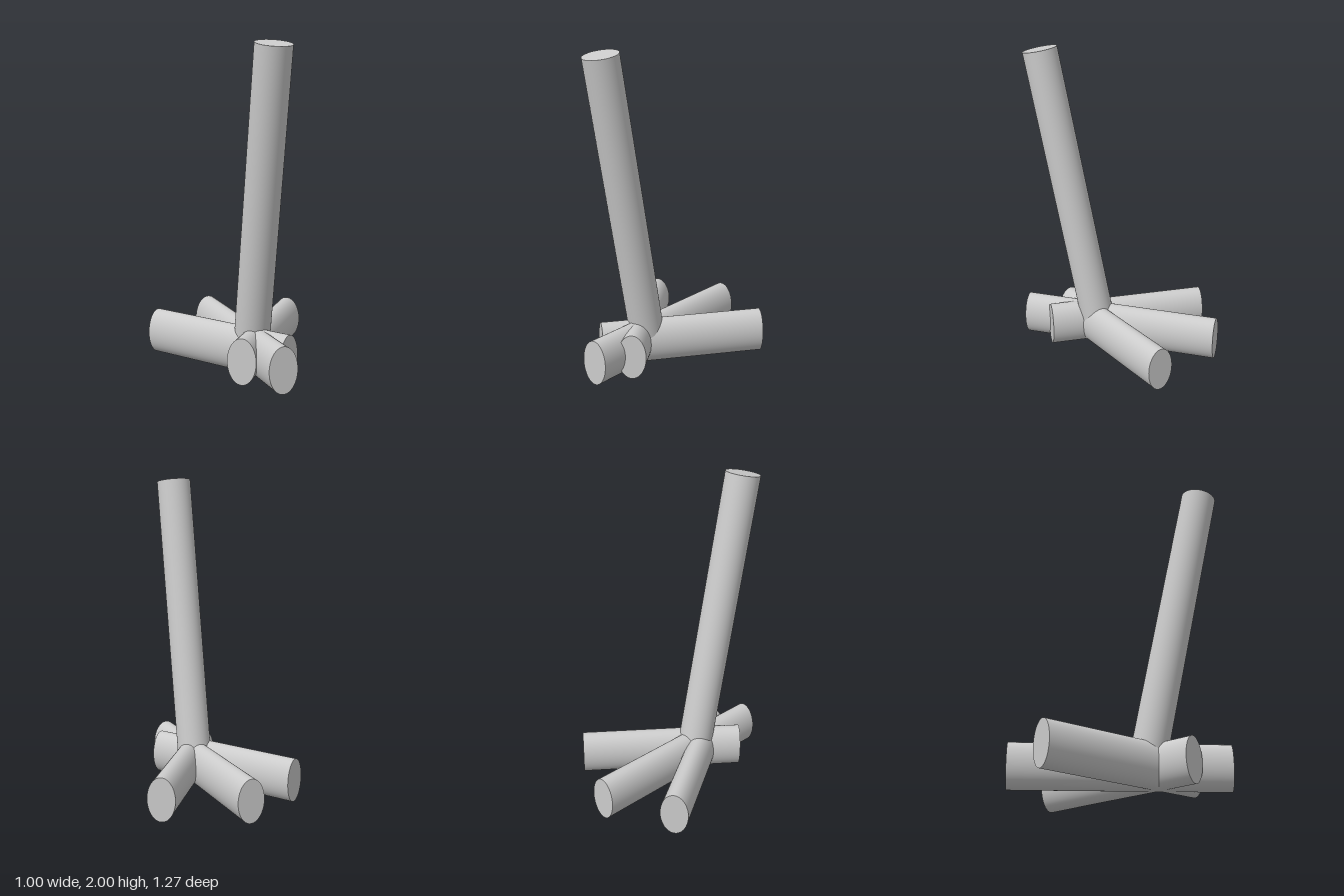
import * as THREE from 'three';

const material = new THREE.MeshStandardMaterial({ color: 0xcccccc });

// Straight pole between two centres; rx is its sideways radius, ry its radius in the upright direction
function pole(name, from, to, rx, ry) {
  const a = new THREE.Vector3(...from);
  const b = new THREE.Vector3(...to);
  const geometry = new THREE.CylinderGeometry(1, 1, a.distanceTo(b), 64);
  geometry.rotateX(Math.PI / 2); // lay the axis along z
  geometry.scale(rx, ry, 1);
  const mesh = new THREE.Mesh(geometry, material);
  mesh.name = name;
  mesh.position.copy(a).add(b).multiplyScalar(0.5);
  mesh.lookAt(b);
  return mesh;
}

export function createModel() {
  const group = new THREE.Group();
  group.name = 'crossedPoles';

  // Three flattened logs crossing at one point on the ground: [x, z] of each end
  const logY = 0.142;
  const logs = [
    ['steepLog', [-0.363, -0.573], [-0.207, 0.457]],
    ['diagonalLog', [0.103, -0.603], [-0.398, 0.595]],
    ['shallowLog', [0.453, -0.193], [-0.458, 0.313]],
  ];
  for (const [name, [x0, z0], [x1, z1]] of logs) {
    group.add(pole(name, [x0, logY, z0], [x1, logY, z1], 0.089, 0.141));
  }

  // Tall leaning post rising from the crossing
  group.add(pole('leaningPost', [-0.206, 0.142, 0.137], [-0.36, 1.978, 0.475], 0.11, 0.11));

  return group;
}
